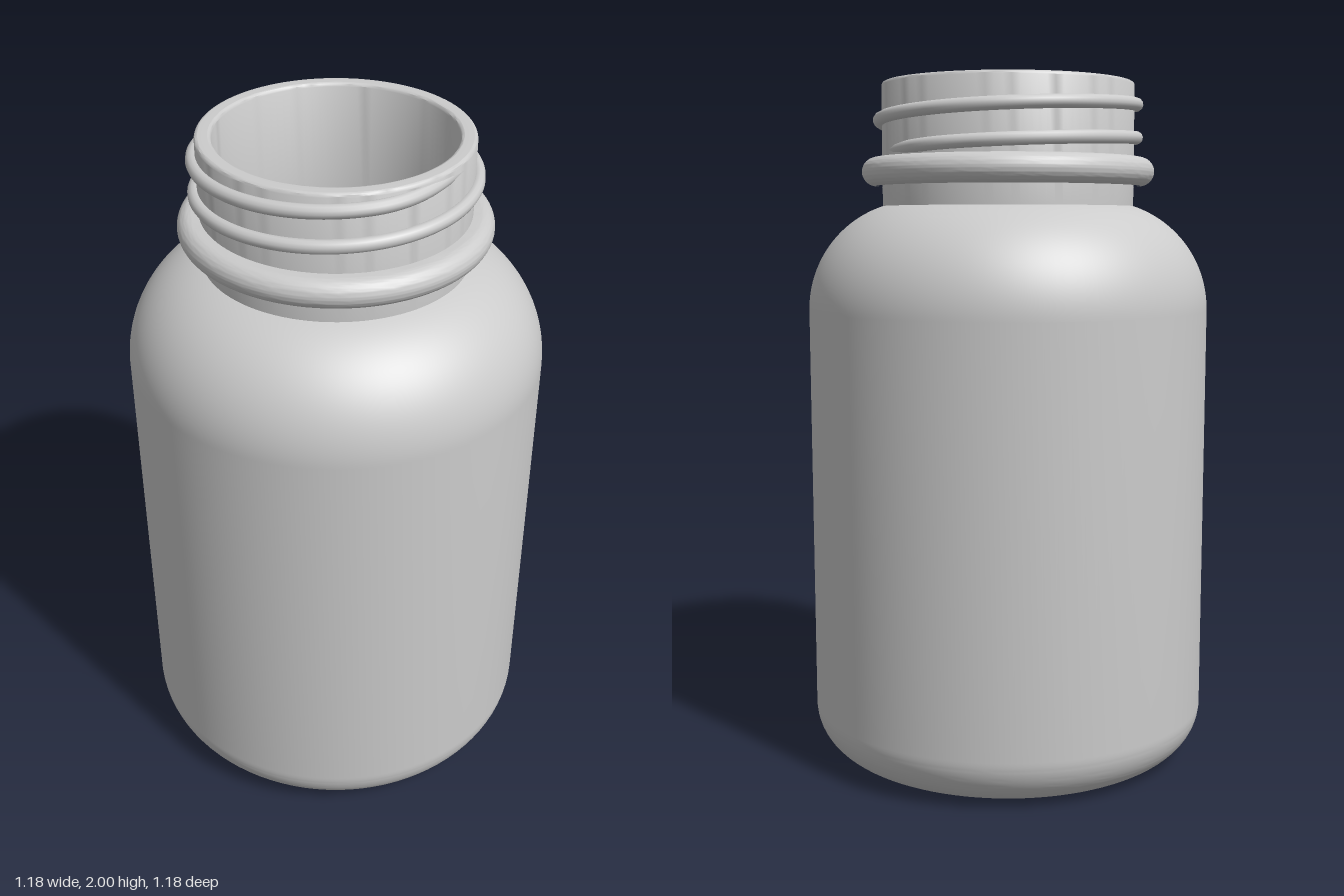
import * as THREE from 'three';
import { toCreasedNormals } from 'three/addons/utils/BufferGeometryUtils.js';

const material = new THREE.MeshStandardMaterial({ color: 0xcccccc });
const SEGMENTS = 96;

function addPart(group, name, geometry) {
  const mesh = new THREE.Mesh(geometry, material);
  mesh.name = name;
  group.add(mesh);
}

function lathe(path) {
  return toCreasedNormals(new THREE.LatheGeometry(path.getPoints(16), SEGMENTS), 0.6);
}

// Hollow bottle: recessed base, outer wall, lip, then back down the inner wall
function bottleProfile() {
  const neck = 0.37, bore = 0.325, wall = 0.045;
  const shoulder = { x: 0.27, y: 1.34, r: 0.32 };
  const heel = { x: 0.44, y: 0.15, r: 0.15 };
  const outerEnd = Math.acos((neck - shoulder.x) / shoulder.r);
  const innerEnd = Math.acos((bore - shoulder.x) / (shoulder.r - wall));

  const p = new THREE.Path();
  p.moveTo(0, 0.04);
  p.lineTo(0.3, 0.04);
  p.bezierCurveTo(0.36, 0.04, 0.36, 0, heel.x, 0);
  p.absarc(heel.x, heel.y, heel.r, -Math.PI / 2, 0, false);
  p.absarc(shoulder.x, shoulder.y, shoulder.r, 0, outerEnd, false);
  p.absarc(neck - 0.01, 1.99, 0.01, 0, Math.PI / 2, false);
  p.absarc(bore + 0.01, 1.99, 0.01, Math.PI / 2, Math.PI, false);
  p.absarc(shoulder.x, shoulder.y, shoulder.r - wall, innerEnd, 0, true);
  p.absarc(heel.x, heel.y, heel.r - wall, 0, -Math.PI / 2, true);
  p.bezierCurveTo(0.36, wall, 0.36, 0.085, 0.3, 0.085);
  p.lineTo(0, 0.085);
  return p;
}

// Round-edged bead below the thread
function collarProfile() {
  const r = 0.041, y = 1.743;
  const p = new THREE.Path();
  p.moveTo(0.36, y - r);
  p.absarc(0.43 - r, y, r, -Math.PI / 2, Math.PI / 2, false);
  p.lineTo(0.36, y + r);
  return p;
}

// Helix descending around the neck, sinking into the wall at both ends
class ThreadCurve extends THREE.Curve {
  getPoint(t, target = new THREE.Vector3()) {
    const start = THREE.MathUtils.degToRad(61);
    const end = Math.PI * 4;
    const angle = THREE.MathUtils.lerp(start, end, t);
    const fade = THREE.MathUtils.smoothstep(Math.min(t, 1 - t), 0, 0.07);
    const radius = 0.351 + 0.026 * fade;
    const y = THREE.MathUtils.lerp(1.974, 1.8, t);
    return target.set(radius * Math.cos(angle), y, radius * Math.sin(angle));
  }
}

export function createModel() {
  const group = new THREE.Group();
  group.name = 'bottle';
  addPart(group, 'bottleBody', lathe(bottleProfile()));
  addPart(group, 'neckCollar', lathe(collarProfile()));
  addPart(group, 'screwThread', new THREE.TubeGeometry(new ThreadCurve(), 240, 0.019, 12, false));
  return group;
}
